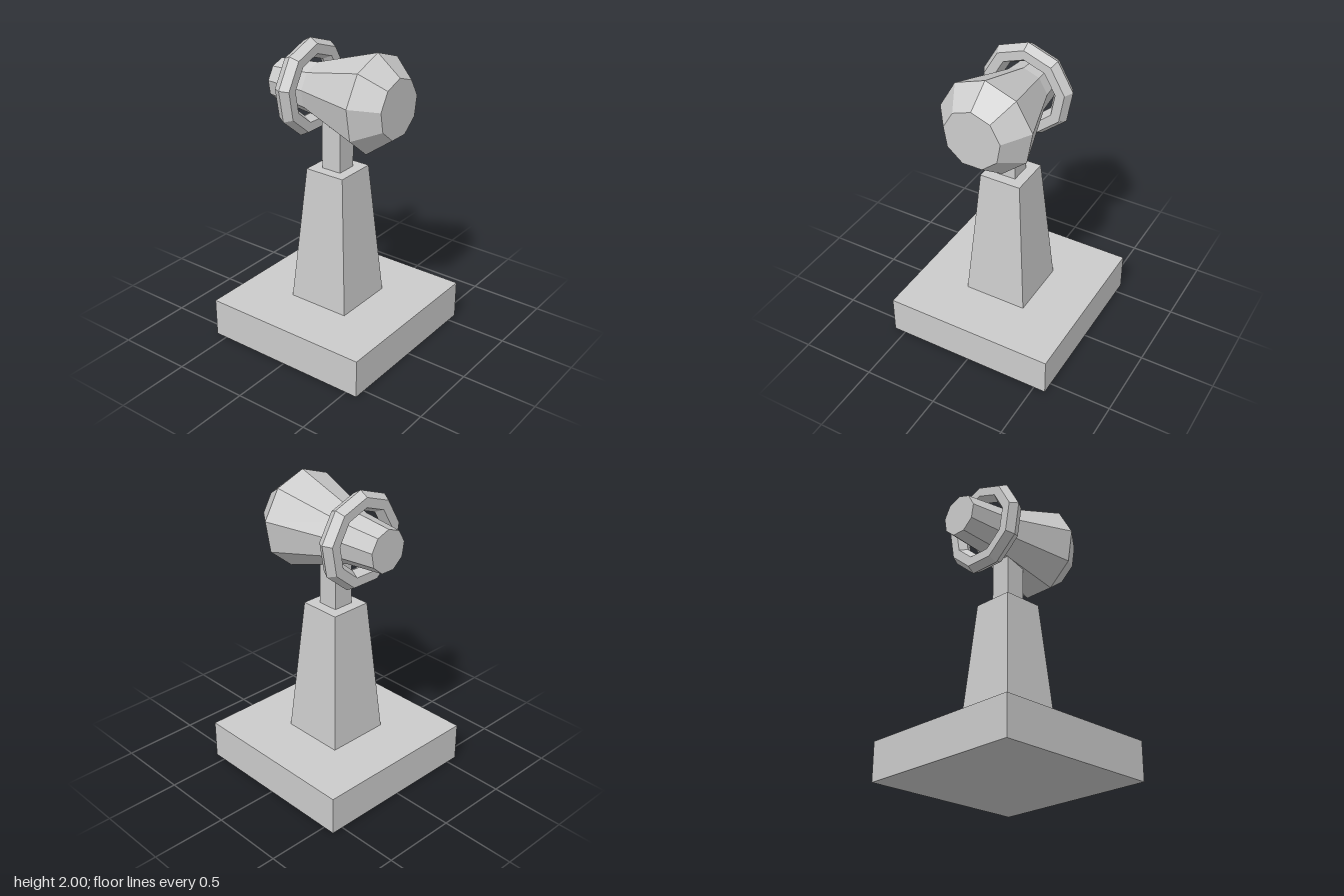
import * as THREE from 'three';

const SIDES = 9;
const HEAD_Y = 1.683;

export function createModel() {
  const model = new THREE.Group();
  const material = new THREE.MeshStandardMaterial({ color: 0xcccccc, flatShading: true });

  const add = (name, geometry, y, z = 0) => {
    const mesh = new THREE.Mesh(geometry, material);
    mesh.name = name;
    mesh.position.set(0, y, z);
    model.add(mesh);
  };

  // Square block given by its bottom and top half-widths
  const block = (name, bottom, top, y0, y1) => {
    const geometry = new THREE.CylinderGeometry(top * Math.SQRT2, bottom * Math.SQRT2, y1 - y0, 4);
    add(name, geometry.rotateY(Math.PI / 4), (y0 + y1) / 2);
  };

  // Stand
  block('base', 0.58, 0.58, 0, 0.26);
  block('pedestal', 0.215, 0.14, 0.26, 1.185);
  block('neck', 0.07, 0.07, 1.185, 1.6);

  // Head: capped nine-sided profile of [radius, z], turned to lie along z with a corner on top
  const profile = [[0, -0.443], [0.139, -0.443], [0.168, -0.155], [0.317, 0.295], [0.193, 0.455], [0, 0.455]]
    .map(([r, z]) => new THREE.Vector2(r, z));
  add('head', new THREE.LatheGeometry(profile, SIDES, Math.PI).rotateX(Math.PI / 2), HEAD_Y);

  // Hexagonal-section ring floating around the narrow end of the head
  add('ring', new THREE.TorusGeometry(0.2535, 0.0635, 6, SIDES).rotateZ(Math.PI / 2), HEAD_Y, -0.21);

  return model;
}
